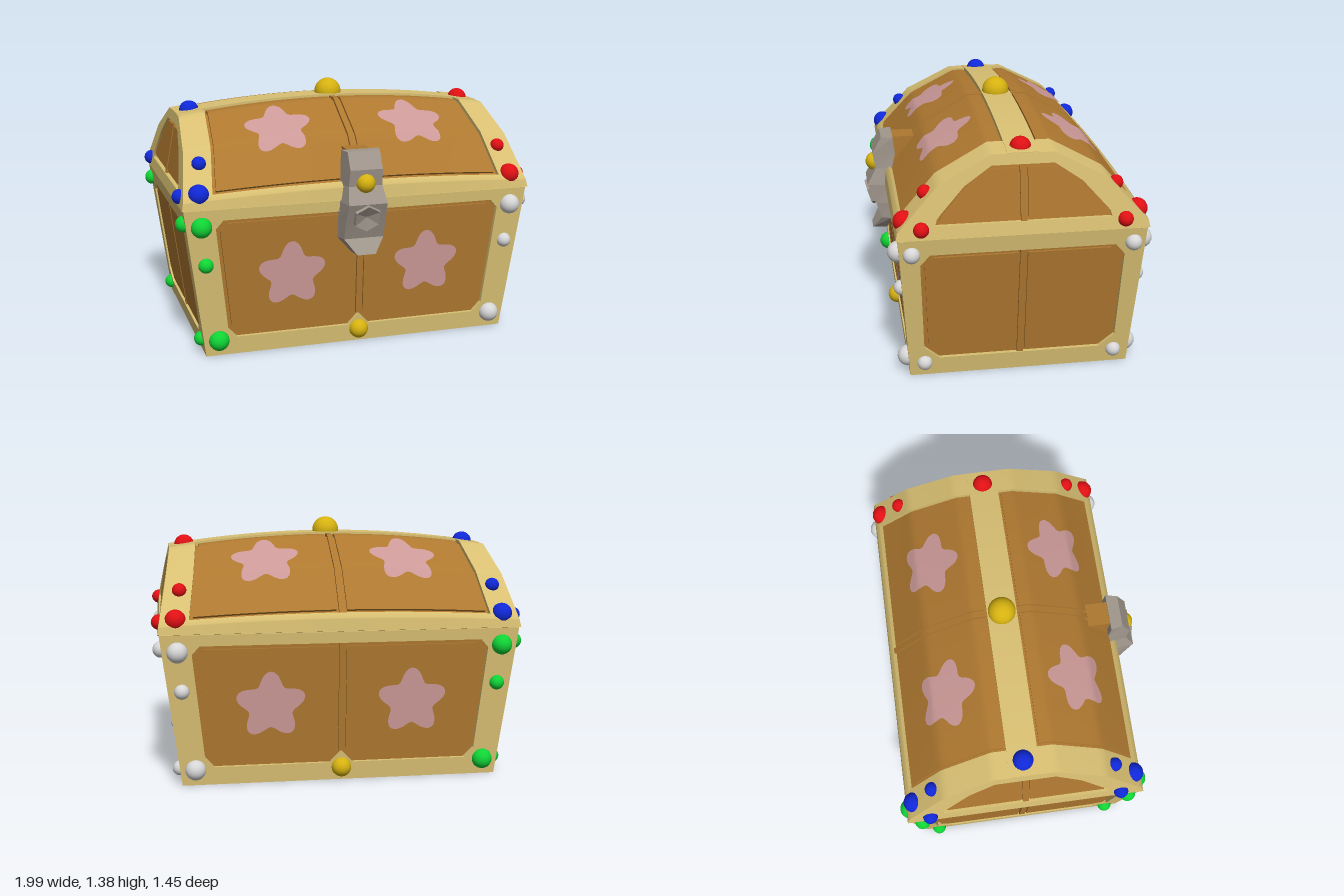
import * as THREE from 'three';
import { toCreasedNormals } from 'three/addons/utils/BufferGeometryUtils.js';

const mat = (name, color, side = THREE.FrontSide) => {
  const m = new THREE.MeshStandardMaterial({ color, side });
  m.name = name;
  return m;
};

// Half profile of the lid at its ends, lip to crown: [z, y, extra height at mid length]
const PROFILE = [[0.648, 0.82, 0], [0.64, 0.86, 0.03], [0.43, 1.085, 0.055], [0.16, 1.225, 0.07], [0, 1.225, 0.07]];
const bodyX = y => 0.85 + 0.107 * y / 0.815;
const bodyZ = y => 0.585 + 0.053 * y / 0.815;
const lidX = y => 0.965 - 0.075 * (y - 0.82) / 0.4;

function profileAt(s) {
  const h = s <= 4 ? s : 8 - s;
  const i = Math.max(0, Math.min(3, Math.floor(h))), f = h - i;
  const [z, y, b] = PROFILE[i].map((v, k) => v + (PROFILE[i + 1][k] - v) * f);
  return [s <= 4 ? z : -z, y, b];
}

// u runs along the chest (-1..1), s over the lid front to back (0..8), d outward
function lidPoint(u, s, d) {
  const [z, y, b] = profileAt(s), p = profileAt(s - 0.05), q = profileAt(s + 0.05);
  const n = new THREE.Vector2(q[1] - p[1], p[0] - q[0]).normalize();
  return new THREE.Vector3(u * lidX(y), y + b * (1 - u * u) + n.y * d, z + n.x * d);
}

function warp(geo, rule) {
  const p = geo.attributes.position;
  for (let i = 0; i < p.count; i++) {
    const v = rule(p.getX(i), p.getY(i), p.getZ(i));
    p.setXYZ(i, v.x, v.y, v.z);
  }
  return toCreasedNormals(geo, 0.6);
}

// Slab following the lid surface
function lidSlab(u0, u1, s0, s1, d0, d1) {
  const geo = new THREE.BoxGeometry(1, 1, 1, 16, Math.ceil((s1 - s0) * 10), 1);
  return warp(geo, (x, y, z) => lidPoint(
    u0 + (x + 0.5) * (u1 - u0), s0 + (y + 0.5) * (s1 - s0), d0 + (z + 0.5) * (d1 - d0)));
}

// Five-petalled disc of unit radius
function flowerDisc() {
  const geo = new THREE.RingGeometry(0.001, 1, 60, 10);
  return warp(geo, (x, y) => {
    const r = 0.82 + 0.18 * Math.cos(5 * (Math.atan2(y, x) - Math.PI / 2));
    return new THREE.Vector3(x * r, y * r, 0);
  });
}

const mirrored = half => half.concat(half.filter(p => p[0] !== 0).map(([x, y]) => [-x, y]).reverse());
const toPoints = list => list.map(([x, y]) => new THREE.Vector2(x, y));

export function createModel() {
  const gold = mat('pale gold trim', 0xd8bf72);
  const wood = mat('brown wood', 0xae7830);
  const pink = mat('pink flower', 0xcb9997);
  const metal = mat('grey metal', 0xa0968c, THREE.DoubleSide);
  const yellow = mat('yellow gem', 0xd6b210);
  const red = mat('red gem', 0xe01014);
  const blue = mat('blue gem', 0x1028d8);
  const green = mat('green gem', 0x10d435);
  const white = mat('white gem', 0xd6d6d6);

  const model = new THREE.Group();
  const chest = new THREE.Group();
  chest.name = 'chest';
  chest.position.z = -0.04;
  model.add(chest);

  const add = (parent, name, geo, m) => {
    const mesh = new THREE.Mesh(geo, m);
    mesh.name = name;
    parent.add(mesh);
    return mesh;
  };

  // A sloped wall: frame with opening, backing, two raised panels and a centre strip
  function wall(name, outer, half, offset, angle, flowers) {
    const g = new THREE.Group();
    g.name = name;
    g.rotation.y = angle;
    chest.add(g);
    const slab = (shape, d0, d1) => warp(
      new THREE.ExtrudeGeometry(shape, { depth: d1 - d0, bevelEnabled: false }),
      (x, y, z) => new THREE.Vector3(x, y, offset(y) + d0 + z));
    const frame = new THREE.Shape(toPoints(mirrored(outer)));
    frame.holes.push(new THREE.Path(toPoints(mirrored(half))));
    add(g, 'frame', slab(frame, -0.04, 0), gold);
    const backing = outer.map(([x, y]) => [x * 0.94, y + (y < 0.5 ? 0.02 : -0.01)]);
    add(g, 'backing', slab(new THREE.Shape(toPoints(mirrored(backing))), -0.035, -0.022), wood);

    const xs = half.map(p => p[0]), ys = half.map(p => p[1]);
    const cx = Math.max(...xs) / 2, y0 = Math.min(...ys), y1 = Math.max(...ys), cy = (y0 + y1) / 2;
    const kx = 1 - 0.024 / cx, ky = 1 - 0.04 / (y1 - y0);
    for (const side of [1, -1]) {
      const pts = half.map(([x, y]) => [side * (cx + (x - cx) * kx), cy + (y - cy) * ky]);
      add(g, 'raisedPanel', slab(new THREE.Shape(toPoints(pts)), -0.025, -0.008), wood);
      if (flowers) {
        const f = warp(flowerDisc(), (x, y) => {
          const py = 0.425 + y * 0.185;
          return new THREE.Vector3(side * 0.38 + x * 0.19, py, offset(py) - 0.003);
        });
        add(g, 'flower', f, pink);
      }
    }
    const w = 0.016, b = half[0][1];
    add(g, 'centreStrip', slab(new THREE.Shape(toPoints([[-w, b], [w, b], [w, y1], [-w, y1]])), -0.025, -0.006), wood);
  }

  // Body walls and lid ends
  const longOuter = [[0, 0], [bodyX(0), 0], [bodyX(0.815), 0.815], [0, 0.815]];
  const longHole = [[0, 0.16], [0.06, 0.096], [0.68, 0.096], [0.73, 0.15], [0.79, 0.71], [0.75, 0.755], [0, 0.755]];
  const endOuter = [[0, 0], [bodyZ(0), 0], [bodyZ(0.815), 0.815], [0, 0.815]];
  const endHole = [[0, 0.1], [0.43, 0.1], [0.51, 0.17], [0.527, 0.67], [0.477, 0.727], [0, 0.727]];
  const lidOuter = [[0, 0.82], ...PROFILE.map(([z, y]) => [z, y])];
  const lidHole = [[0, 0.885], [0.45, 0.885], [0.44, 0.92], [0.3, 1.075], [0.16, 1.17], [0, 1.17]];
  for (const turn of [0, Math.PI]) {
    const label = turn ? 'back' : 'front', end = turn ? 'right' : 'left';
    wall(label + 'Wall', longOuter, longHole, bodyZ, turn, true);
    wall(end + 'Wall', endOuter, endHole, bodyX, turn + Math.PI / 2, false);
    wall(end + 'LidEnd', lidOuter, lidHole, lidX, turn + Math.PI / 2, false);
  }
  add(chest, 'base', new THREE.BoxGeometry(1.69, 0.02, 1.16).translate(0, 0.01, 0), gold);
  add(chest, 'seam', new THREE.BoxGeometry(1.88, 0.05, 1.24).translate(0, 0.815, 0), gold);

  // Curved lid
  add(chest, 'lidCore', lidSlab(-0.95, 0.95, 0.1, 7.9, -0.06, -0.022), wood);
  add(chest, 'crownBand', lidSlab(-0.999, 0.999, 3.5, 4.5, -0.04, 0.003), gold);
  for (const side of [1, -1]) {
    add(chest, 'lidEndBand', lidSlab(side > 0 ? 0.84 : -1, side > 0 ? 1 : -0.84, 0, 8, -0.04, 0), gold);
  }
  for (const back of [false, true]) {
    const range = (a, b) => back ? [8 - b, 8 - a] : [a, b];
    add(chest, 'lidLip', lidSlab(-0.999, 0.999, ...range(0, 1.1), -0.04, 0), gold);
    add(chest, 'lidStrip', lidSlab(-0.016, 0.016, ...range(1.1, 3.5), -0.025, -0.006), wood);
    for (const side of [1, -1]) {
      const u = side > 0 ? [0.03, 0.82] : [-0.82, -0.03];
      add(chest, 'lidPanel', lidSlab(...u, ...range(1.17, 3.42), -0.025, -0.008), wood);
      const k = back ? -1 : 1;
      const f = warp(flowerDisc(), (x, y) =>
        lidPoint(side * 0.42 + k * x * 0.21, (back ? 5.72 : 2.28) + k * y * 0.6, 0.001));
      add(chest, 'lidFlower', f, pink);
    }
  }

  // Gems
  const gem = (x, y, z, r, m) =>
    add(chest, 'gem', new THREE.SphereGeometry(r, 20, 14), m).position.set(x, y, z);
  for (const sx of [1, -1]) {
    const low = sx > 0 ? white : green, high = sx > 0 ? red : blue;
    gem(sx * 0.805, 1.23, 0, 0.055, high);
    for (const sz of [1, -1]) {
      for (const [x, y, r] of [[0.865, 0.725, 0.055], [0.845, 0.515, 0.04], [0.78, 0.085, 0.055]])
        gem(sx * x, y, sz * bodyZ(y), r, low);
      gem(sx * bodyX(0.735), 0.735, sz * 0.57, 0.044, low);
      gem(sx * bodyX(0.077), 0.077, sz * 0.508, 0.04, low);
      gem(sx * 0.87, 0.89, sz * 0.6, 0.055, high);
      gem(sx * 0.845, 1.03, sz * 0.49, 0.038, high);
      gem(sx * lidX(0.87), 0.87, sz * 0.52, 0.04, high);
    }
  }
  for (const sz of [1, -1]) gem(0, 0.07, sz * bodyZ(0.07), 0.053, yellow);
  gem(0, 1.305, 0, 0.075, yellow);

  // Latch: rows of [y, half width, back z, front z]
  const latch = new THREE.Group();
  latch.name = 'latch';
  model.add(latch);
  const rows = [[0.53, 0.06, 0.6, 0.68], [0.61, 0.13, 0.575, 0.63], [0.7, 0.13, 0.58, 0.66],
    [0.81, 0.125, 0.58, 0.705], [0.9, 0.11, 0.565, 0.655], [0.99, 0.105, 0.545, 0.67], [1.08, 0.105, 0.555, 0.62]];
  const plate = warp(new THREE.BoxGeometry(2, 6, 1, 1, 6, 1), (x, y, z) => {
    const [py, w, zb, zf] = rows[Math.round(y + 3)];
    return new THREE.Vector3(x * w * (z > 0 ? 0.85 : 1), py, z > 0 ? zf : zb);
  });
  add(latch, 'latchPlate', toCreasedNormals(plate, 0.1), metal);
  const dish = new THREE.LatheGeometry(toPoints([[0.085, -0.03], [0.075, 0.022], [0, -0.002]]), 6);
  const keyhole = add(latch, 'keyhole', toCreasedNormals(dish, 0.1), metal);
  keyhole.position.set(0, 0.735, 0.675);
  keyhole.rotation.x = Math.PI / 2 + 0.3;
  add(latch, 'latchGem', new THREE.SphereGeometry(0.052, 20, 14), yellow).position.set(0, 0.915, 0.655);
  add(latch, 'latchMount', new THREE.BoxGeometry(0.13, 0.13, 0.16).translate(0, 1.01, 0.48), wood);
  return model;
}
